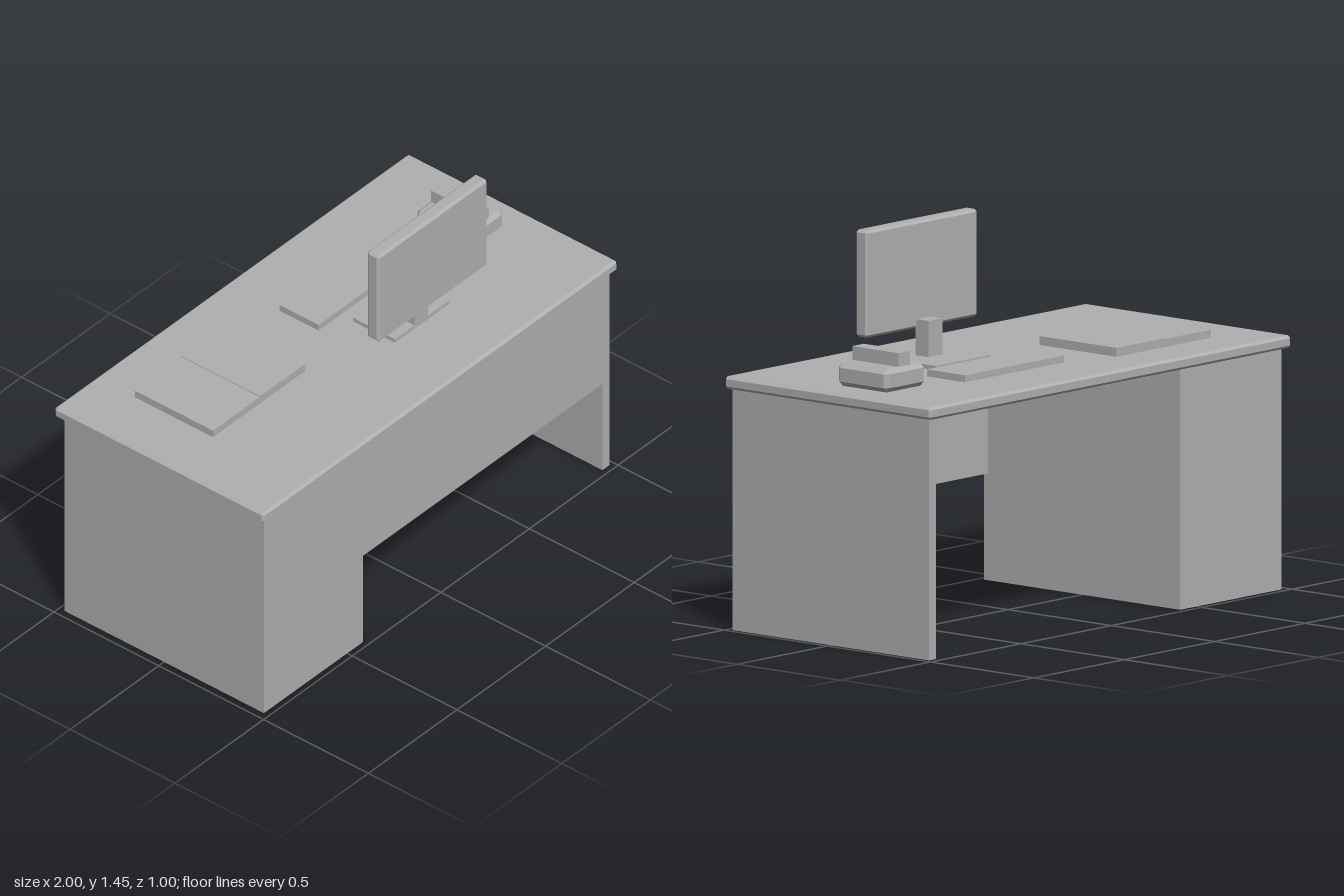
import * as THREE from 'three';
import { ConvexGeometry } from 'three/addons/geometries/ConvexGeometry.js';

const grey = new THREE.MeshStandardMaterial({ color: 0xb0b0b0 });
grey.name = 'plain grey';

// Box with every edge cut at 45 degrees
function chamferedBox(w, h, d, c) {
  const points = [];
  for (const sx of [-1, 1]) for (const sy of [-1, 1]) for (const sz of [-1, 1]) {
    for (let axis = 0; axis < 3; axis++) {
      const inset = [c, c, c];
      inset[axis] = 0;
      points.push(new THREE.Vector3(
        sx * (w / 2 - inset[0]), sy * (h / 2 - inset[1]), sz * (d / 2 - inset[2])));
    }
  }
  return new ConvexGeometry(points);
}

export function createModel() {
  const model = new THREE.Group();
  model.name = 'officeDesk';

  // Adds a block given its extent on each axis
  function block(parent, name, [x0, x1], [y0, y1], [z0, z1], chamfer = 0) {
    const size = [x1 - x0, y1 - y0, z1 - z0];
    const geometry = chamfer ? chamferedBox(...size, chamfer) : new THREE.BoxGeometry(...size);
    const mesh = new THREE.Mesh(geometry, grey);
    mesh.name = name;
    mesh.position.set((x0 + x1) / 2, (y0 + y1) / 2, (z0 + z1) / 2);
    parent.add(mesh);
  }

  function group(name) {
    const g = new THREE.Group();
    g.name = name;
    model.add(g);
    return g;
  }

  const top = 0.94;

  // Desk
  const desk = group('desk');
  block(desk, 'desktop', [-1, 1], [0.893, top], [-0.5, 0.5], 0.01);
  block(desk, 'pedestal', [-0.97, -0.41], [0, 0.893], [-0.475, 0.476]);
  block(desk, 'sidePanel', [0.94, 0.98], [0, 0.893], [-0.475, 0.476]);
  block(desk, 'modestyPanel', [-0.41, 0.94], [0.395, 0.893], [0.456, 0.476]);

  // Monitor on its stand
  const monitor = group('monitor');
  block(monitor, 'screen', [-0.062, 0.555], [1.055, 1.452], [0.197, 0.256], 0.01);
  block(monitor, 'standNeck', [0.206, 0.282], [top, 1.09], [0.138, 0.2]);
  block(monitor, 'standBase', [0.096, 0.4], [top, 0.956], [0, 0.2]);

  // Keyboard
  block(model, 'keyboard', [-0.028, 0.518], [top, 0.966], [-0.246, -0.06]);

  // Open notebook with a loose page on one half
  const notebook = group('notebook');
  block(notebook, 'notebookBody', [-0.765, -0.242], [top, 0.97], [-0.313, 0.06]);
  block(notebook, 'notebookPage', [-0.5, -0.242], [0.97, 0.973], [-0.313, 0.06]);

  // Telephone
  const phone = group('telephone');
  block(phone, 'phoneBase', [0.662, 0.883], [top, 1.027], [-0.187, 0.06], 0.018);
  block(phone, 'handset', [0.741, 0.804], [1.027, 1.078], [-0.174, 0.05]);

  return model;
}
